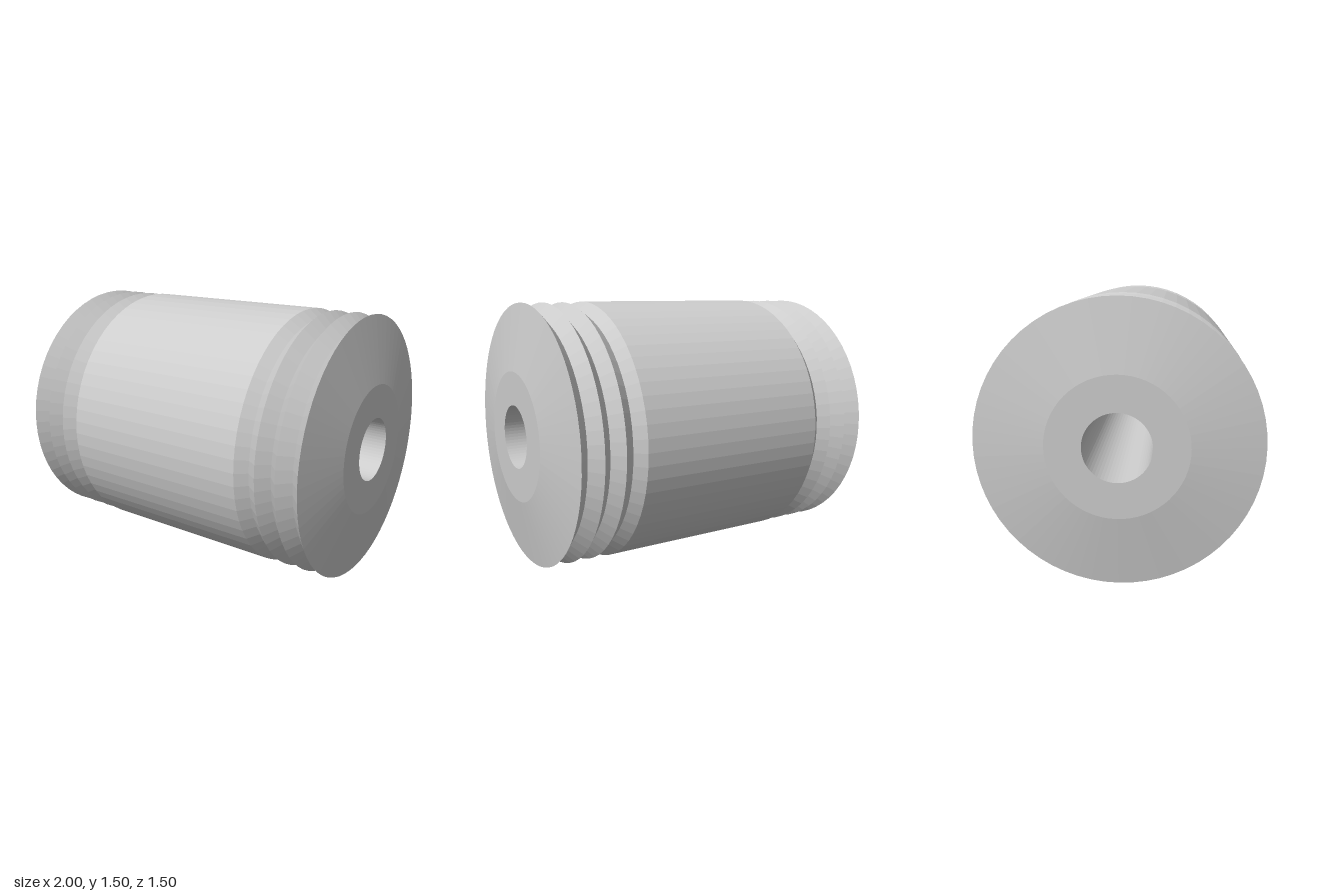
import * as THREE from 'three';

const SEGMENTS = 64;
const RADIUS = 0.75;
const BORE = 0.18;

// Revolve [radius, x] points about the x axis, with flat facets
function revolve(name, points, material) {
  const profile = points.map(([r, x]) => new THREE.Vector2(r, x));
  const geometry = new THREE.LatheGeometry(profile, SEGMENTS).toNonIndexed();
  geometry.rotateZ(-Math.PI / 2);
  geometry.computeVertexNormals();
  const mesh = new THREE.Mesh(geometry, material);
  mesh.name = name;
  return mesh;
}

export function createModel() {
  const metal = new THREE.MeshStandardMaterial({ color: 0xcccccc });
  metal.name = 'light grey metal';

  const model = new THREE.Group();
  model.name = 'groovedBushing';

  // Plain central barrel
  model.add(revolve('barrel', [[RADIUS, -0.57], [RADIUS, 0.57]], metal));

  // Ridged end: V grooves, shallow cone and flat annular face
  const end = [
    [RADIUS, 0.57], [0.7, 0.63], [0.747, 0.692], [0.68, 0.75],
    [0.747, 0.812], [0.68, 0.875], [0.747, 0.938], [0.37, 1], [BORE, 1],
  ];
  model.add(revolve('leftRidgedEnd', end, metal));
  const mirrored = end.map(([r, x]) => [r, -x]).reverse();
  model.add(revolve('rightRidgedEnd', mirrored, metal));

  // Through hole, facing inward
  model.add(revolve('bore', [[BORE, 1], [BORE, -1]], metal));

  // Rest the barrel on the ground
  model.children.forEach((part) => { part.position.y = RADIUS; });
  return model;
}
